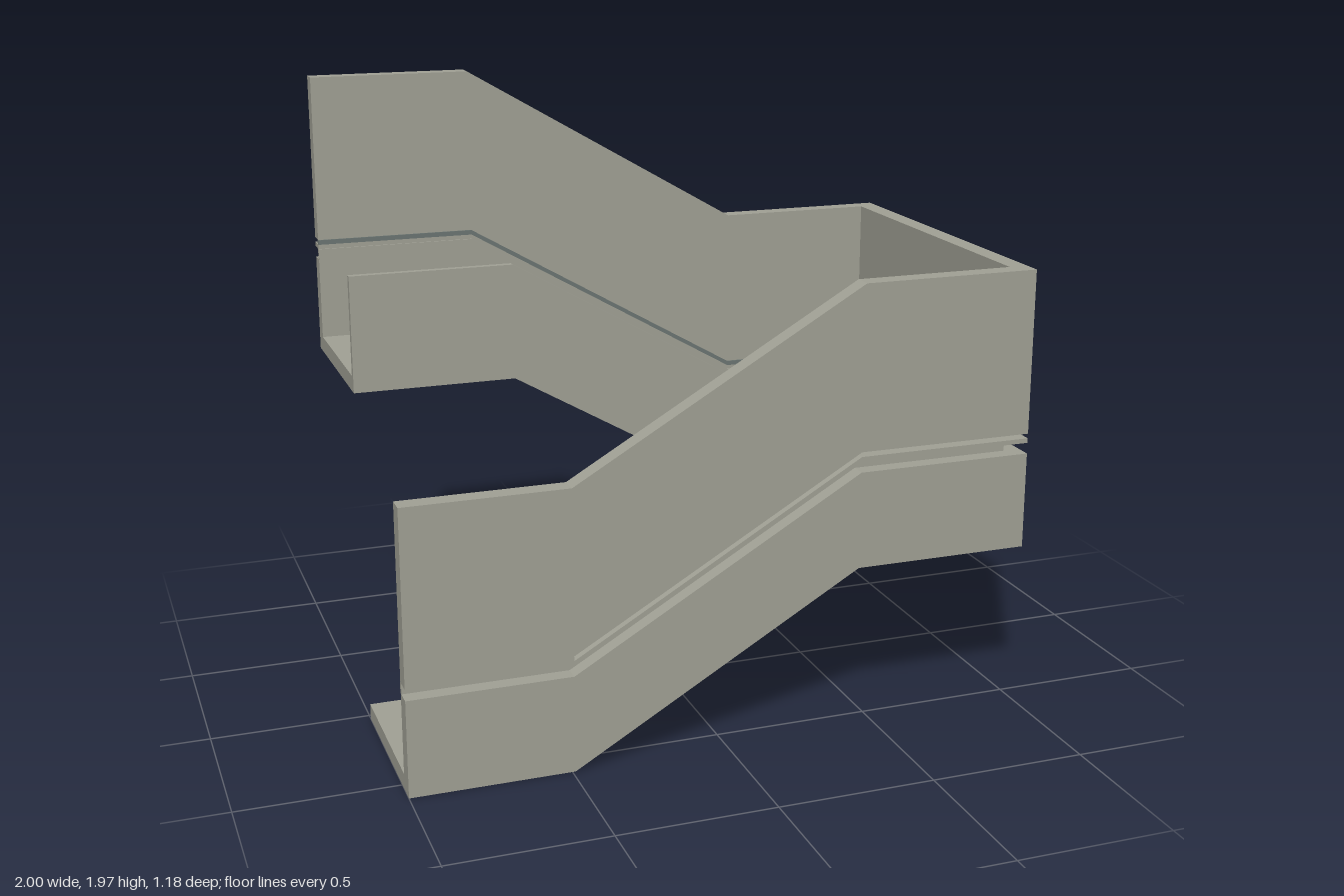
import * as THREE from 'three';

const concrete = new THREE.MeshStandardMaterial({ color: 0xa2a296 });
concrete.name = 'concrete';
const trim = new THREE.MeshStandardMaterial({ color: 0x6c7673 });
trim.name = 'grey green trim';

// Main levels: bends of the flights, undersides of the three landings
const XL = -0.49, XR = 0.43, LOW = 0.01, MID = 0.545, HIGH = 1.08;
const SLAB = 0.05, STEPS = 11, RUN = (XR - XL) / STEPS, RISE = (MID - LOW) / STEPS;

// Soffit line of a flight between x0 and x1; end is the level of its far landing
function soffit(end, x0, x1) {
  const y = x => {
    const t = THREE.MathUtils.clamp((x - XL) / (XR - XL), 0, 1);
    return end + (MID - end) * t;
  };
  return [x0, ...[XL, XR].filter(x => x > x0 && x < x1), x1].map(x => [x, y(x)]);
}

function extrude(points, z0, z1) {
  const shape = new THREE.Shape(points.map(p => new THREE.Vector2(p[0], p[1])));
  const geo = new THREE.ExtrudeGeometry(shape, { depth: z1 - z0, bevelEnabled: false });
  return geo.translate(0, 0, z0);
}

export function createModel() {
  const model = new THREE.Group();
  model.name = 'staircase';

  const add = (name, geo, mat = concrete) => {
    const mesh = new THREE.Mesh(geo, mat);
    mesh.name = name;
    model.add(mesh);
  };
  const box = (name, x0, x1, y0, y1, z0, z1, mat) => add(name,
    new THREE.BoxGeometry(x1 - x0, y1 - y0, z1 - z0)
      .translate((x0 + x1) / 2, (y0 + y1) / 2, (z0 + z1) / 2), mat);
  // Band that follows a flight, between two heights above its soffit
  const band = (name, end, x0, x1, lo, hi, z0, z1, mat) => {
    const line = soffit(end, x0, x1);
    const bottom = line.map(([x, y]) => [x, y + lo]);
    const top = line.map(([x, y]) => [x, y + hi]).reverse();
    add(name, extrude([...bottom, ...top], z0, z1), mat);
  };

  // Outer walls: lower part, recessed core, middle strip, slit with trim, upper part
  const outerWall = (name, end, z0, z1, c0, c1, slitStart) => {
    band(name + 'LowerWall', end, -1, 1, 0, 0.31, z0, z1);
    band(name + 'RecessCore', end, -1, 0.945, 0.31, 0.345, c0, c1);
    band(name + 'MiddleStrip', end, -1, 1, 0.345, 0.36, z0, z1);
    band(name + 'SlitTrim', end, slitStart, 0.945, 0.36, 0.375, c0, c1, trim);
    if (slitStart > -1) band(name + 'SlitFill', end, -1, slitStart, 0.36, 0.375, z0, z1);
    band(name + 'UpperWall', end, -1, 1, 0.375, 0.9, z0, z1);
  };
  outerWall('front', LOW, 0.53, 0.59, 0.525, 0.54, XL);
  outerWall('back', HIGH, -0.595, -0.54, -0.55, -0.535, -1);

  // End wall beside the middle landing
  [['Lower', 0, 0.31], ['Middle', 0.345, 0.36], ['Upper', 0.375, 0.9]].forEach(([n, lo, hi]) =>
    box('end' + n + 'Wall', 0.94, 1, MID + lo, MID + hi, -0.54, 0.53));
  box('endRecessCore', 0.935, 0.948, MID + 0.31, MID + 0.345, -0.54, 0.53);
  box('endSlitTrim', 0.935, 0.948, MID + 0.36, MID + 0.375, -0.54, 0.53, trim);

  // Landings
  box('lowerLanding', -1, XL, LOW, LOW + SLAB, 0.024, 0.53);
  box('middleLanding', XR, 0.94, MID, MID + SLAB, -0.54, 0.53);
  box('upperLanding', -1, XL, HIGH, HIGH + SLAB, -0.54, -0.034);

  // Flights: sawtooth top over a sloping soffit, with a trim strip on each nosing
  const flight = (name, x0, dir, base, z0, z1) => {
    const pts = [[x0, base]];
    for (let i = 0; i < STEPS; i++) {
      const x = x0 + dir * i * RUN, y = base + SLAB + (i + 1) * RISE;
      pts.push([x, y], [x + dir * RUN, y]);
      const a = x - dir * 0.003, b = x + dir * 0.008;
      box(name + 'Nosing', Math.min(a, b), Math.max(a, b), y - 0.008, y + 0.002, z0, z1, trim);
    }
    pts.push([x0 + dir * STEPS * RUN, base + STEPS * RISE]);
    add(name, extrude(pts, z0, z1));
  };
  flight('lowerFlight', XL, 1, LOW, 0.024, 0.53);
  flight('upperFlight', XR, -1, MID, -0.54, -0.034);

  // Inner balustrades, joined by a rounded turn at the middle landing
  const TURN = 0.405;
  band('lowerBalustrade', LOW, XL, TURN, 0, 0.365, 0.003, 0.025);
  band('upperBalustrade', HIGH, -1, TURN, 0, 0.365, -0.035, -0.013);
  const ring = new THREE.Shape();
  ring.absarc(TURN, 0.005, 0.03, -Math.PI / 2, Math.PI / 2, false);
  ring.absarc(TURN, 0.005, 0.008, Math.PI / 2, -Math.PI / 2, true);
  add('balustradeTurn', new THREE.ExtrudeGeometry(ring,
    { depth: 0.365, bevelEnabled: false, curveSegments: 12 })
    .rotateX(-Math.PI / 2).translate(0, MID - 0.005, 0));

  return model;
}
